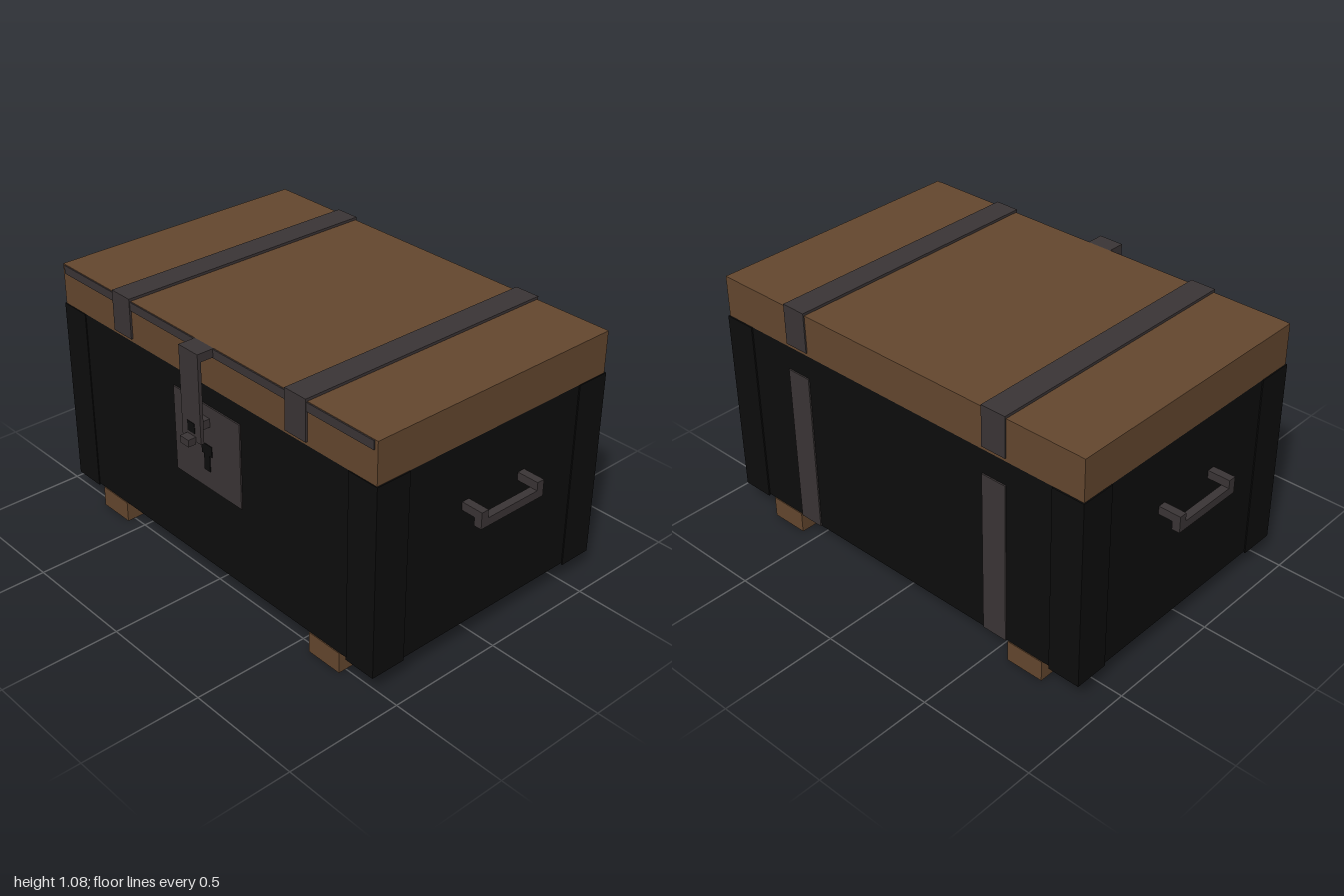
import * as THREE from 'three';

export function createModel() {
  const root = new THREE.Group();
  const mat = (name, color) => {
    const m = new THREE.MeshStandardMaterial({ color });
    m.name = name;
    return m;
  };
  const wood = mat('brown wood', 0x65482f);
  const black = mat('black panel', 0x0d0d0d);
  const iron = mat('dark iron', 0x3b3536);

  // Box given by its lower and upper limits on each axis
  const box = (name, material, [x0, x1], [y0, y1], [z0, z1]) => {
    const mesh = new THREE.Mesh(new THREE.BoxGeometry(x1 - x0, y1 - y0, z1 - z0), material);
    mesh.position.set((x0 + x1) / 2, (y0 + y1) / 2, (z0 + z1) / 2);
    mesh.name = name;
    root.add(mesh);
    return mesh;
  };
  // Range mirrored to the given side
  const mir = (s, a, b) => (s > 0 ? [a, b] : [-b, -a]);

  const W = 0.905, back = -0.632, front = 0.53;

  // Chest body and lid
  box('body', black, [-W, W], [0.09, 0.89], [back, front]);
  box('lid', wood, [-W, W], [0.89, 1.065], [back, front]);

  for (const s of [1, -1]) {
    // Corner plates wrapping the vertical edges of the body
    box('cornerPlateSideFront', black, mir(s, W, W + 0.005), [0.083, 0.89], [0.38, front + 0.004]);
    box('cornerPlateSideBack', black, mir(s, W, W + 0.005), [0.083, 0.89], [back - 0.006, -0.49]);
    box('cornerPlateFront', black, mir(s, 0.77, W), [0.083, 0.89], [front, front + 0.004]);
    box('cornerPlateBack', black, mir(s, 0.77, W), [0.083, 0.89], [back - 0.006, back]);

    // Iron straps over the lid and down the back
    const strapX = mir(s, 0.45, 0.56);
    box('strapTop', iron, strapX, [1.065, 1.076], [back - 0.006, front + 0.008]);
    box('strapFront', iron, strapX, [0.905, 1.065], [front, front + 0.008]);
    box('strapBack', iron, strapX, [0.905, 1.065], [back - 0.006, back]);
    box('bodyStrapBack', iron, strapX, [0.09, 0.79], [back - 0.006, back]);

    // Carrying handle: two arms and a grip
    box('handleArmFront', iron, mir(s, W, 1), [0.61, 0.645], [0.076, 0.11]);
    box('handleArmBack', iron, mir(s, W, 1), [0.61, 0.645], [-0.215, -0.181]);
    box('handleGrip', iron, mir(s, 0.966, 1), [0.575, 0.61], [-0.215, 0.11]);

    // Foot runner: an open rectangular frame
    const rect = (T, w, d) => new T([
      new THREE.Vector2(-w, -d), new THREE.Vector2(w, -d),
      new THREE.Vector2(w, d), new THREE.Vector2(-w, d),
    ]);
    const outline = rect(THREE.Shape, 0.0825, 0.585);
    outline.holes.push(rect(THREE.Path, 0.036, 0.535));
    const geo = new THREE.ExtrudeGeometry(outline, { depth: 0.09, bevelEnabled: false });
    geo.rotateX(-Math.PI / 2);
    const foot = new THREE.Mesh(geo, wood);
    foot.position.set(s * 0.6525, 0, -0.051);
    foot.name = 'footRunner';
    root.add(foot);
  }

  // Bar along the front edge of the lid
  box('lidFrontBar', iron, [-0.89, 0.89], [1.027, 1.063], [front, front + 0.005]);

  // Lock plate with keyhole
  box('lockPlate', iron, [-0.195, 0.195], [0.445, 0.81], [front, front + 0.006]);
  box('keyholeTop', black, [-0.03, 0.03], [0.595, 0.64], [front, front + 0.009]);
  box('keyholeSlot', black, [-0.017, 0.017], [0.525, 0.595], [front, front + 0.009]);

  // Hasp hanging from the lid, with staple and hook
  box('haspArm', iron, [-0.055, 0.055], [1.03, 1.065], [front, 0.605]);
  box('haspPlate', iron, [-0.055, 0.055], [0.69, 1.03], [0.59, 0.605]);
  box('haspStaple', iron, [-0.022, 0.022], [0.724, 0.76], [front, 0.59]);
  box('haspHole', black, [-0.021, 0.021], [0.722, 0.765], [0.605, 0.607]);
  box('haspHook', iron, [-0.025, 0.025], [0.68, 0.71], [0.605, 0.64]);

  return root;
}
